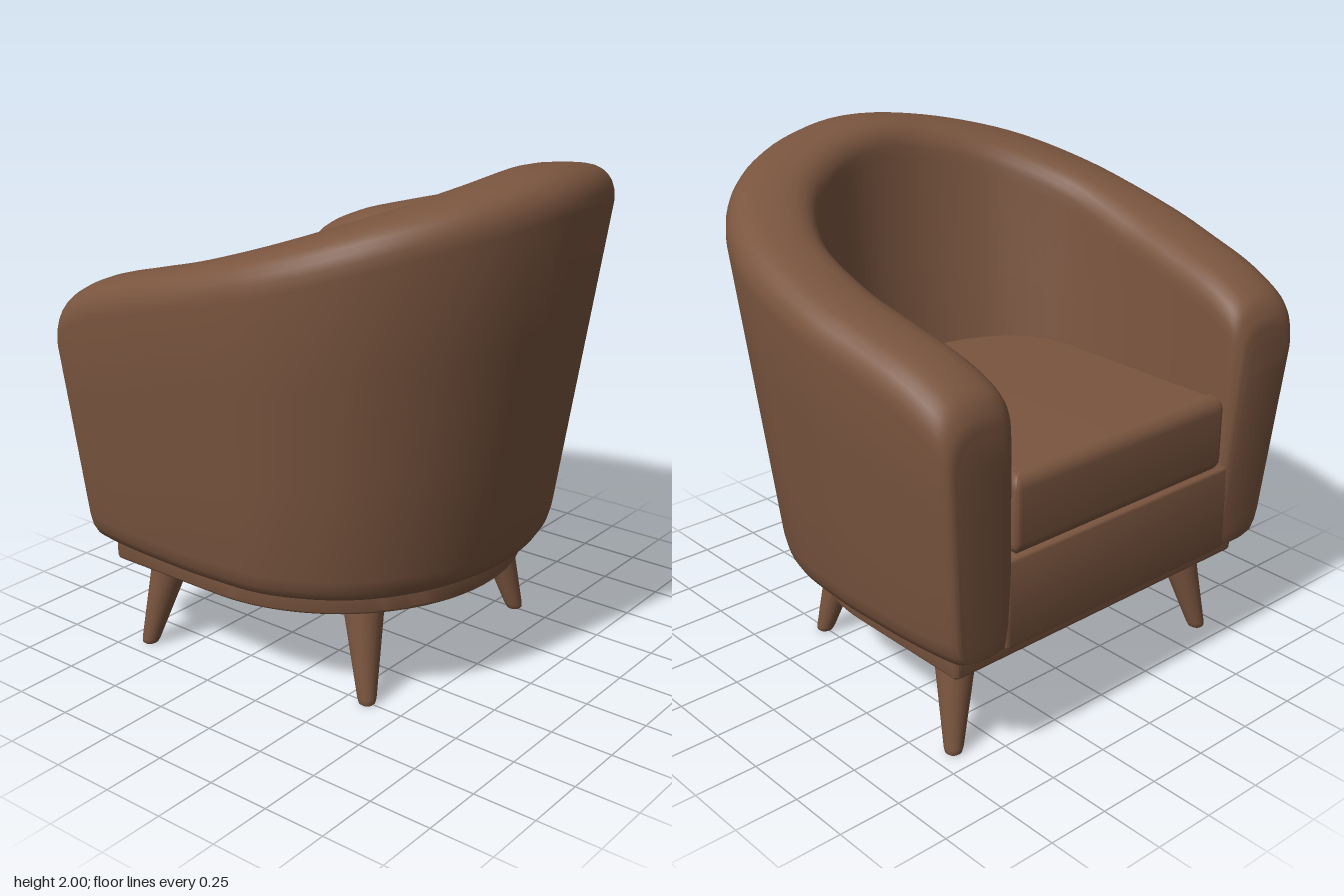
import * as THREE from 'three';
import { toCreasedNormals } from 'three/addons/utils/BufferGeometryUtils.js';

// Half of the U-shaped shell, from the arm front to the middle of the back:
// rim outer x,z | rim inner x,z | foot outer x,z | foot inner x,z | crest height
const STATIONS = [
  [-0.87, 0.81, -0.865, 0.61, -0.82, 0.75, -0.825, 0.56, 1.32],
  [-0.86, 0.86, -0.85, 0.58, -0.815, 0.78, -0.815, 0.54, 1.40],
  [-0.80, 0.89, -0.80, 0.56, -0.77, 0.80, -0.78, 0.53, 1.475],
  [-0.65, 0.91, -0.65, 0.57, -0.62, 0.82, -0.64, 0.52, 1.55],
  [-0.45, 0.93, -0.43, 0.59, -0.43, 0.83, -0.42, 0.51, 1.61],
  [-0.18, 0.95, -0.18, 0.61, -0.18, 0.83, -0.18, 0.50, 1.68],
  [0.22, 0.90, 0.10, 0.59, 0.12, 0.79, 0.00, 0.46, 1.785],
  [0.55, 0.72, 0.35, 0.44, 0.40, 0.62, 0.14, 0.35, 1.89],
  [0.78, 0.40, 0.49, 0.22, 0.58, 0.34, 0.23, 0.18, 1.965],
  [0.87, 0.00, 0.53, 0.00, 0.64, 0.00, 0.26, 0.00, 2.00],
];

// Smooth curve through one x,z column pair, mirrored to the other arm
function railCurve(col) {
  const half = STATIONS.map((s) => new THREE.Vector3(s[col], s[8], s[col + 1]));
  const other = half.slice(0, -1).reverse().map((p) => new THREE.Vector3(p.x, p.y, -p.z));
  return new THREE.CatmullRomCurve3([...half, ...other], false, 'catmullrom', 0.5);
}

// Padded wall: closed cross-sections swept around the U, with flat arm fronts
function shellGeometry() {
  const rails = [0, 2, 4, 6].map(railCurve);
  const n = 108, levels = 7, arc = 14, yBase = 0.47, rim = 0.14;
  const positions = [], index = [];
  let ring = 0;
  for (let s = 0; s <= n; s++) {
    const [ro, ri, fo, fi] = rails.map((r) => r.getPoint(s / n));
    const h = ro.y, yRim = h - rim, pts = [];
    const wall = (foot, top, toward, k) => {
      // rounded lower edge, then a straight flare up to the rim
      const inset = [0.07, 0.025, 0.006][k] ?? 0;
      const y = [yBase, yBase + 0.012, yBase + 0.05][k]
        ?? THREE.MathUtils.lerp(yBase + 0.1, yRim, (k - 3) / (levels - 4));
      const p = foot.clone().lerp(top, (y - yBase) / (yRim - yBase));
      p.addScaledVector(toward.clone().sub(foot).setY(0).normalize(), inset);
      return p.setY(y);
    };
    for (let k = 0; k < levels; k++) pts.push(wall(fo, ro, fi, k));
    for (let k = 1; k < arc; k++) {
      const a = (k / arc) * Math.PI, c = Math.cos(a);
      const across = Math.sign(c) * Math.abs(c) ** 0.75;
      const p = ri.clone().lerp(ro, 0.5 + across / 2);
      pts.push(p.setY(yRim + rim * Math.sin(a) ** 0.8));
    }
    for (let k = levels - 1; k >= 0; k--) pts.push(wall(fi, ri, fo, k));
    ring = pts.length;
    pts.forEach((p) => positions.push(p.x, p.y, p.z));
  }
  for (let s = 0; s < n; s++) {
    for (let j = 0; j < ring; j++) {
      const a = s * ring + j, b = s * ring + ((j + 1) % ring);
      index.push(a, a + ring, b, b, a + ring, b + ring);
    }
  }
  const last = n * ring;
  for (let j = 0; j < ring / 2 - 1; j++) {
    const k = ring - 1 - j;
    index.push(j, j + 1, k, j + 1, k - 1, k);
    index.push(last + j, last + k, last + j + 1, last + j + 1, last + k, last + k - 1);
  }
  const g = new THREE.BufferGeometry();
  g.setAttribute('position', new THREE.Float32BufferAttribute(positions, 3));
  g.setIndex(index);
  return toCreasedNormals(g, 0.8);
}

// D-shaped slab: straight front at x0, rounded back reaching x1
function slabGeometry(x0, xArc, x1, z, y0, y1, bevel) {
  const r = 0.03;
  const d = new THREE.Shape();
  d.moveTo(x0 + r, -z);
  d.lineTo(xArc, -z);
  d.absellipse(xArc, 0, x1 - xArc, z, -Math.PI / 2, Math.PI / 2, false, 0);
  d.lineTo(x0 + r, z);
  d.quadraticCurveTo(x0, z, x0, z - r);
  d.lineTo(x0, -z + r);
  d.quadraticCurveTo(x0, -z, x0 + r, -z);
  const g = new THREE.ExtrudeGeometry(d, {
    depth: y1 - y0 - 2 * bevel, curveSegments: 28, bevelSegments: 5,
    bevelSize: bevel, bevelThickness: bevel, bevelOffset: -bevel,
  });
  g.rotateX(-Math.PI / 2);
  g.translate(0, y0 + bevel, 0);
  return toCreasedNormals(g, 0.6);
}

// Tapered leg, sheared so the foot stays level on the floor
function legGeometry(dx, dz) {
  const profile = [[0, 0], [0.024, 0], [0.032, 0.006], [0.037, 0.025], [0.08, 0.37], [0.082, 0.4]];
  const g = new THREE.LatheGeometry(profile.map(([r, y]) => new THREE.Vector2(r, y)), 24);
  const slope = new THREE.Matrix4().set(1, dx / 0.37, 0, 0, 0, 1, 0, 0, 0, dz / 0.37, 1, 0, 0, 0, 0, 1);
  return g.applyMatrix4(slope);
}

export function createModel() {
  const model = new THREE.Group();
  model.name = 'tubArmchair';
  const brown = new THREE.MeshStandardMaterial({ color: 0x7a553f });
  brown.name = 'brown';
  const add = (name, geometry) => {
    const mesh = new THREE.Mesh(geometry, brown);
    mesh.name = name;
    model.add(mesh);
    return mesh;
  };

  add('backAndArms', shellGeometry());
  add('seatBase', slabGeometry(-0.835, -0.02, 0.4, 0.58, 0.47, 0.82, 0.015));
  add('seatCushion', slabGeometry(-0.83, -0.02, 0.35, 0.535, 0.81, 1.12, 0.055));
  add('plinth', slabGeometry(-0.75, -0.2, 0.555, 0.735, 0.37, 0.5, 0.02));

  // Splayed legs, wider apart at the front
  for (const side of [1, -1]) {
    const label = side > 0 ? 'Left' : 'Right';
    add('frontLeg' + label, legGeometry(0.075, -0.075 * side)).position.set(-0.652, 0, 0.665 * side);
    add('backLeg' + label, legGeometry(-0.075, -0.075 * side)).position.set(0.345, 0, 0.505 * side);
  }
  return model;
}
